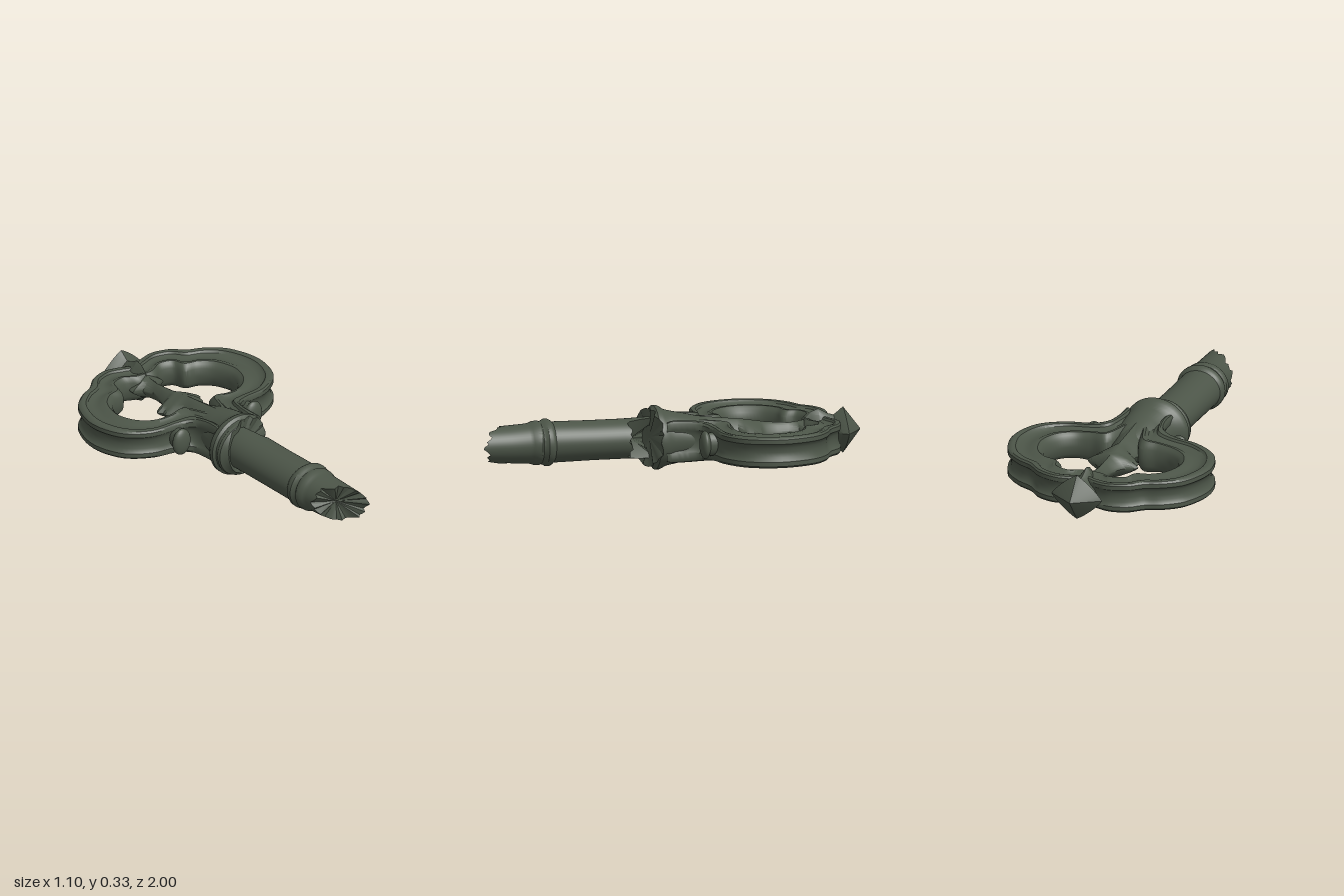
import * as THREE from 'three';
import { toCreasedNormals } from 'three/addons/utils/BufferGeometryUtils.js';

const Y = 0.165; // height of the key's mid plane

// Skin rows of equal point counts into a closed tube; caps fan to the two given centres
function skin(rows, startCentre, endCentre, crease = 0.6) {
  const pos = [];
  const tri = (a, b, c) => {
    const n = b.clone().sub(a).cross(c.clone().sub(a));
    if (n.length() > 1e-9) pos.push(...a.toArray(), ...b.toArray(), ...c.toArray());
  };
  const n = rows[0].length;
  const last = rows.length - 1;
  for (let j = 0; j < n; j++) {
    const k = (j + 1) % n;
    for (let i = 0; i < last; i++) {
      tri(rows[i][j], rows[i][k], rows[i + 1][k]);
      tri(rows[i][j], rows[i + 1][k], rows[i + 1][j]);
    }
    tri(startCentre, rows[0][k], rows[0][j]);
    tri(endCentre, rows[last][j], rows[last][k]);
  }
  const g = new THREE.BufferGeometry();
  g.setAttribute('position', new THREE.Float32BufferAttribute(pos, 3));
  return toCreasedNormals(g, crease);
}

// Linear lookup of [z, rx, ry, cx] in a profile
function sampleProfile(profile, z) {
  let i = 0;
  while (i < profile.length - 2 && z > profile[i + 1][0]) i++;
  const a = profile[i], b = profile[i + 1];
  const t = THREE.MathUtils.clamp((z - a[0]) / (b[0] - a[0]), 0, 1);
  return [1, 2, 3].map((k) => THREE.MathUtils.lerp(a[k] ?? 0, b[k] ?? 0, t));
}

// Loft along z. power 1 = ellipse, 2 = diamond, above = star.
// start/end give the broken edge as a function of angle.
function zLoft(profile, { power = 1, start, end, startCentre, endCentre, sides = 48, crease } = {}) {
  const sp = (v) => Math.sign(v) * Math.pow(Math.abs(v), power);
  const rows = profile.map(([z0]) => {
    const row = [];
    for (let j = 0; j < sides; j++) {
      const a = (j / sides) * Math.PI * 2;
      let z = z0;
      if (start) z = Math.max(z, start(a));
      if (end) z = Math.min(z, end(a));
      const [rx, ry, cx] = sampleProfile(profile, z);
      row.push(new THREE.Vector3(cx + rx * sp(Math.cos(a)), Y + ry * sp(Math.sin(a)), z));
    }
    return row;
  });
  const centre = (p) => new THREE.Vector3(p[3] ?? 0, Y, p[0]);
  return skin(rows, startCentre ?? centre(profile[0]), endCentre ?? centre(profile[profile.length - 1]), crease);
}

// Jagged break line around an angle
const jag = (a, s) => s * (Math.sin(a * 7 + 1) + 0.7 * Math.sin(a * 13 + 2) + 0.5 * Math.sin(a * 19));

function bowGeometry() {
  // Matched stations, top to collar: outer x, z, inner x, z, half height
  const half = [
    [0.08, -0.85, 0.05, -0.69, 0.075], [0.16, -0.86, 0.11, -0.725, 0.078],
    [0.25, -0.83, 0.18, -0.705, 0.08], [0.32, -0.77, 0.2, -0.64, 0.08],
    [0.41, -0.725, 0.27, -0.62, 0.08], [0.5, -0.635, 0.33, -0.56, 0.08],
    [0.55, -0.46, 0.355, -0.46, 0.08], [0.5, -0.29, 0.325, -0.37, 0.08],
    [0.375, -0.195, 0.26, -0.315, 0.08], [0.23, -0.17, 0.18, -0.3, 0.087],
    [0.155, -0.13, 0.09, -0.31, 0.098], [0.13, -0.06, 0.04, -0.2, 0.106],
    [0.13, 0.02, 0, -0.1, 0.108], [0.14, 0.05, 0, 0, 0.1],
  ];
  const stations = [
    ...half.map(([a, b, c, d, h]) => [-a, b, -c, d, h]).reverse(),
    [0, -0.82, 0, -0.69, 0.075],
    ...half,
  ];
  const outer = new THREE.CatmullRomCurve3(stations.map((s) => new THREE.Vector3(s[0], s[4], s[1])), false, 'catmullrom');
  const inner = new THREE.CatmullRomCurve3(stations.map((s) => new THREE.Vector3(s[2], s[4], s[3])), false, 'catmullrom');
  // Moulded section: fraction across the band, fraction of half height
  const upper = [
    [0.1, 0], [0.08, 0.3], [0.03, 0.52], [0, 0.58], [0, 0.86], [0.05, 0.98], [0.13, 1.02],
    [0.22, 0.98], [0.27, 0.84], [0.42, 0.74], [0.6, 0.76], [0.72, 0.9], [0.82, 0.9],
    [0.9, 0.74], [0.98, 0.5], [1, 0],
  ];
  const section = [...upper, ...upper.slice(1, -1).reverse().map(([t, v]) => [t, -v])];
  const rows = [];
  const steps = 168;
  for (let i = 0; i <= steps; i++) {
    const o = outer.getPoint(i / steps), n = inner.getPoint(i / steps);
    rows.push(section.map(([t, v]) => {
      const p = o.clone().lerp(n, t);
      return new THREE.Vector3(p.x, Y + p.y * v, p.z);
    }));
  }
  const mid = (r) => r[0].clone().lerp(r[upper.length - 1], 0.5);
  return skin(rows, mid(rows[0]), mid(rows[steps]));
}

export function createModel() {
  const key = new THREE.Group();
  key.name = 'brokenKey';
  const metal = new THREE.MeshStandardMaterial({ color: 0x4c5548 });
  metal.name = 'agedGreyGreenMetal';
  const add = (name, geometry) => {
    const m = new THREE.Mesh(geometry, metal);
    m.name = name;
    key.add(m);
    return m;
  };

  add('bowFrame', bowGeometry());

  // Pointed crown with a leaf running down onto the frame
  add('finial', zLoft([
    [-1, 0.003, 0.003], [-0.91, 0.14, 0.12], [-0.88, 0.115, 0.095], [-0.86, 0.075, 0.08],
    [-0.83, 0.08, 0.088], [-0.78, 0.06, 0.115], [-0.74, 0.035, 0.1], [-0.69, 0.015, 0.05],
  ], { power: 1.7, sides: 32, crease: 0.4 }));

  // Central strut with side lobes, fanning out into the neck
  add('centreStrut', zLoft([
    [-0.72, 0.1, 0.06], [-0.69, 0.1, 0.06], [-0.67, 0.05, 0.055], [-0.62, 0.026, 0.05],
    [-0.56, 0.04, 0.055], [-0.5, 0.062, 0.06], [-0.475, 0.085, 0.065], [-0.46, 0.128, 0.068],
    [-0.44, 0.142, 0.07], [-0.42, 0.12, 0.074], [-0.4, 0.125, 0.078], [-0.38, 0.11, 0.08],
    [-0.35, 0.07, 0.084], [-0.31, 0.08, 0.088], [-0.2, 0.12, 0.1], [-0.05, 0.1, 0.12],
  ], { power: 1.6, sides: 32 }));

  // Flared neck and ringed collar, chipped away on one side
  const collarEnd = (a) => 0.115 - 0.045 * Math.cos(a - 0.2) + jag(a, 0.007) * (Math.cos(a) > -0.4 ? 1 : 0);
  add('neckAndCollar', zLoft([
    [-0.28, 0.05, 0.07, 0], [-0.17, 0.12, 0.1, 0], [-0.08, 0.13, 0.122, 0], [0, 0.138, 0.138, -0.005],
    [0.03, 0.155, 0.145, -0.012], [0.045, 0.17, 0.155, -0.022], [0.06, 0.175, 0.164, -0.025],
    [0.08, 0.175, 0.165, -0.025], [0.092, 0.162, 0.15, -0.025], [0.102, 0.16, 0.147, -0.027],
    [0.112, 0.165, 0.15, -0.028], [0.128, 0.16, 0.145, -0.03], [0.14, 0.14, 0.13, -0.03],
    [0.17, 0.118, 0.11, -0.03],
  ], { end: collarEnd, endCentre: new THREE.Vector3(-0.04, Y, 0.1) }));

  // Shaft with a double ring; both ends are snapped unevenly
  const shaftStart = (a) => 0.05 + 0.17 * THREE.MathUtils.smoothstep(Math.cos(a), 0.05, 0.4) + jag(a, 0.007);
  const shaftEnd = (a) => 0.895 + 0.09 * Math.cos(a) + jag(a, 0.012);
  add('shaft', zLoft([
    [0.03, 0.115, 0.106, -0.03], [0.12, 0.115, 0.106, -0.03], [0.18, 0.115, 0.104, -0.03],
    [0.25, 0.116, 0.102, -0.03], [0.4, 0.115, 0.102, -0.03], [0.615, 0.115, 0.105, -0.028],
    [0.625, 0.125, 0.114, -0.026], [0.637, 0.13, 0.121, -0.025], [0.655, 0.13, 0.121, -0.025],
    [0.668, 0.12, 0.113, -0.025], [0.68, 0.116, 0.109, -0.025], [0.69, 0.123, 0.114, -0.025],
    [0.715, 0.123, 0.112, -0.025], [0.73, 0.114, 0.106, -0.024], [0.75, 0.108, 0.102, -0.021],
    [0.85, 0.108, 0.096, -0.019], [1, 0.109, 0.09, -0.019],
  ], {
    start: shaftStart, end: shaftEnd,
    startCentre: new THREE.Vector3(-0.03, Y, 0.2), endCentre: new THREE.Vector3(-0.02, Y, 0.86),
  }));

  // Rounded buttons under each lobe of the bow
  for (const side of [-1, 1]) {
    const button = add(side > 0 ? 'leftButton' : 'rightButton', new THREE.SphereGeometry(1, 24, 16));
    button.scale.set(0.055, 0.073, 0.028);
    button.position.set(side * 0.235, Y, -0.128);
    const stem = add(side > 0 ? 'leftButtonStem' : 'rightButtonStem', new THREE.CylinderGeometry(1, 1, 1, 20));
    stem.rotation.x = Math.PI / 2;
    stem.scale.set(0.04, 0.08, 0.06);
    stem.position.set(side * 0.225, Y, -0.18);
  }

  return key;
}
